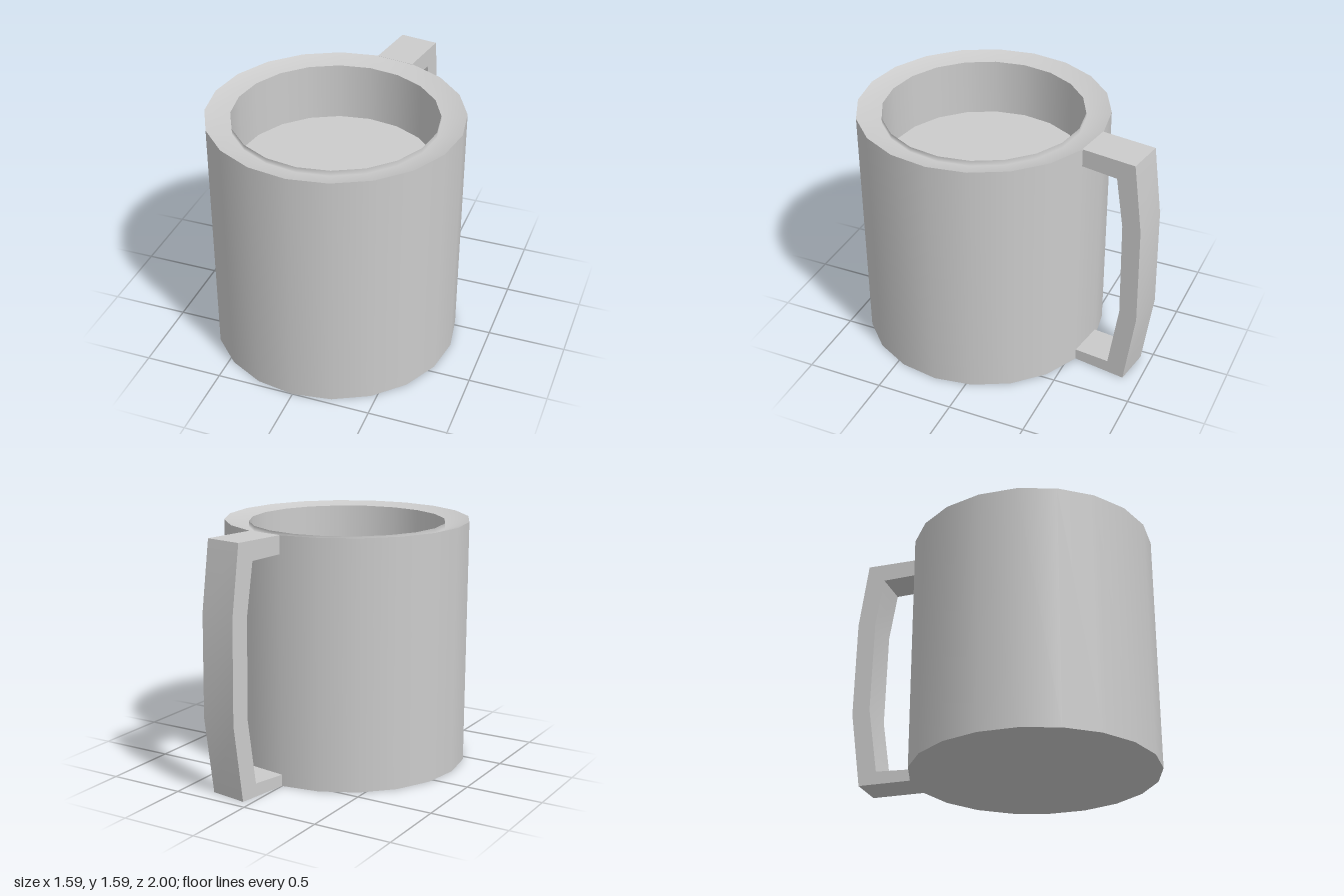
import * as THREE from 'three';
import { toCreasedNormals } from 'three/addons/utils/BufferGeometryUtils.js';

const SIDES = 20, R = 0.793, INNER = 0.637, HEIGHT = 1.59, CENTRE_Z = 0.207;

export function createModel() {
  const model = new THREE.Group();
  model.name = 'mug';
  const grey = new THREE.MeshStandardMaterial({ color: 0xcccccc });

  const add = (name, geometry, parent) => {
    const mesh = new THREE.Mesh(geometry, grey);
    mesh.name = name;
    parent.add(mesh);
    return mesh;
  };

  // Turned body: each profile is its own part so edges between them stay sharp
  const body = new THREE.Group();
  body.name = 'body';
  body.position.z = CENTRE_Z;
  model.add(body);
  const turned = (name, profile) =>
    add(name, new THREE.LatheGeometry(profile.map(([r, y]) => new THREE.Vector2(r, y)), SIDES), body);

  turned('base', [[0, 0], [R, 0]]);
  turned('outerWall', [[R, 0], [R, HEIGHT]]);
  // Rim dips inward and meets a low inner lip
  turned('rim', [[R, HEIGHT], [INNER, 1.54], [INNER, 1.575]]);
  turned('innerWall', [[INNER, 1.575], [INNER, 1.2]]);
  turned('innerFloor', [[INNER, 1.2], [0, 1.2]]);

  // Handle grows out of the wall facet just left of the back
  const width = 2 * R * Math.sin(Math.PI / SIDES);
  const apothem = R * Math.cos(Math.PI / SIDES);
  const angle = Math.PI / 2 - Math.PI / SIDES;
  const outline = [
    [-0.004, 0], [0.35, 0], [0.42, 0.5], [0.41, 1.15], [0.35, HEIGHT], [-0.004, HEIGHT],
    [-0.004, 1.475], [0.235, 1.468], [0.287, 1.15], [0.3, 0.52], [0.235, 0.085], [-0.004, 0.075],
  ].map(([d, y]) => new THREE.Vector2(d, y));
  const geometry = new THREE.ExtrudeGeometry(new THREE.Shape(outline), { depth: width, bevelEnabled: false });
  geometry.translate(0, 0, -width / 2);
  const handle = add('handle', toCreasedNormals(geometry, 0.6), model);
  handle.rotation.y = angle;
  handle.position.set(apothem * Math.cos(angle), 0, CENTRE_Z - apothem * Math.sin(angle));

  return model;
}
